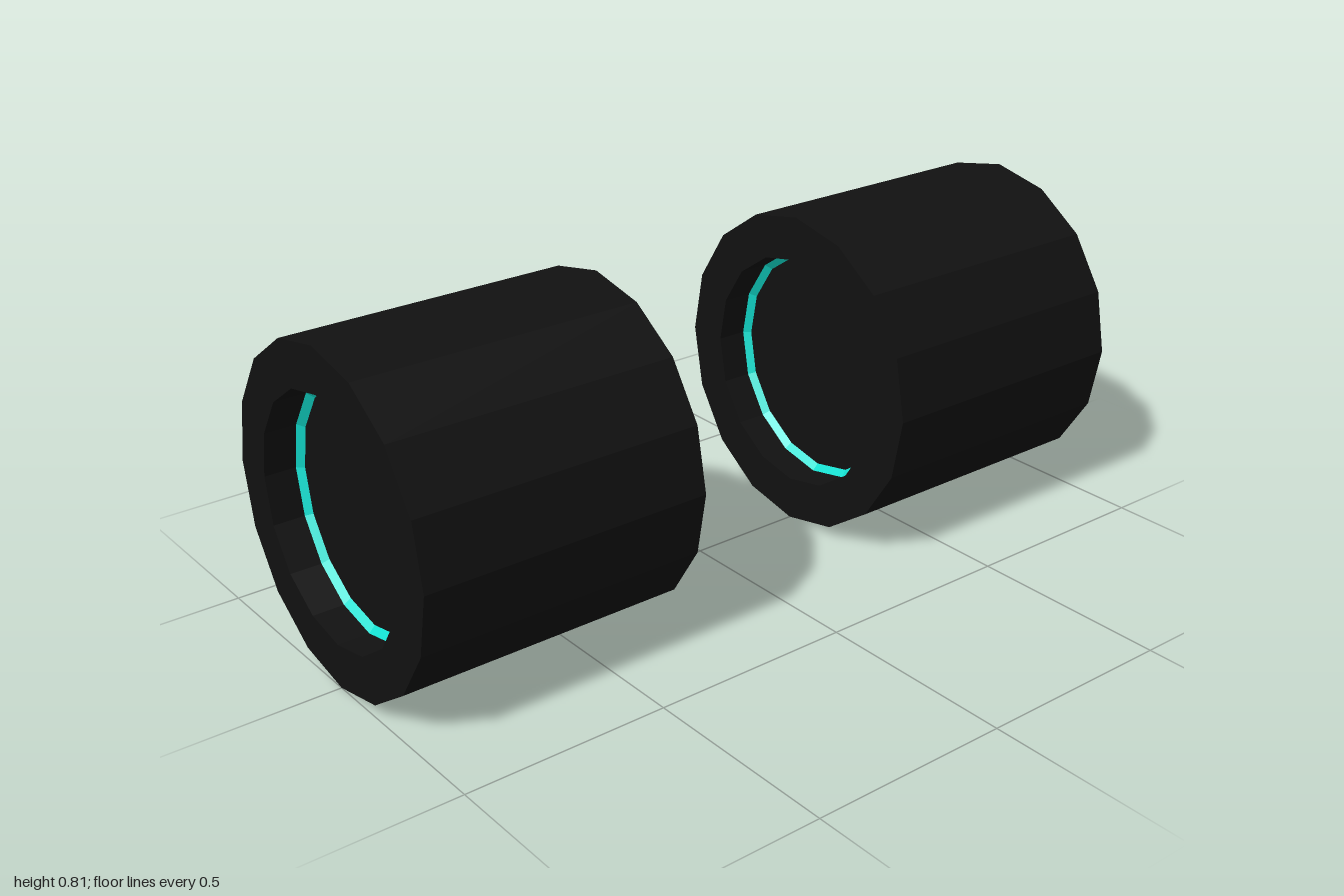
import * as THREE from 'three';

const SIDES = 16;
const RADIUS = 0.39;      // outer radius along z
const STRETCH = 1.033;    // slightly taller than deep
const HALF = 0.3525;      // half the wheel width
const WALL = 0.285;       // radius of the recess wall
const HUB = 0.27;         // radius of the sunken hub disc
const RING_DEPTH = 0.077; // where the glowing ring starts
const HUB_DEPTH = 0.092;  // where the hub disc sits

const black = new THREE.MeshStandardMaterial({ color: 0x111111, flatShading: true });
const teal = new THREE.MeshStandardMaterial({ color: 0x12e0d0, flatShading: true });

// Revolves [radius, offset] pairs around the x axis
function revolve(name, profile, material) {
  const points = profile.map(([r, t]) => new THREE.Vector2(r, t));
  const geometry = new THREE.LatheGeometry(points, SIDES);
  geometry.rotateZ(-Math.PI / 2);
  geometry.scale(1, STRETCH, 1);
  const mesh = new THREE.Mesh(geometry, material);
  mesh.name = name;
  return mesh;
}

function createWheel(name) {
  const wheel = new THREE.Group();
  wheel.name = name;

  // Tyre: tread, both side faces and both recess walls
  wheel.add(revolve('tyre', [
    [WALL, -HALF + RING_DEPTH], [WALL, -HALF], [RADIUS, -HALF],
    [RADIUS, HALF], [WALL, HALF], [WALL, HALF - RING_DEPTH],
  ], black));

  // Sunken hub disc and bevelled accent ring on each end
  for (const side of [-1, 1]) {
    const hub = [[0, side * (HALF - HUB_DEPTH)], [HUB, side * (HALF - HUB_DEPTH)]];
    const ring = [[HUB, side * (HALF - HUB_DEPTH)], [WALL, side * (HALF - RING_DEPTH)]];
    if (side > 0) { // keep the faces pointing outward
      hub.reverse();
      ring.reverse();
    }
    const label = side > 0 ? 'left' : 'right';
    wheel.add(revolve(label + 'Hub', hub, black));
    wheel.add(revolve(label + 'AccentRing', ring, teal));
  }
  return wheel;
}

export function createModel() {
  const model = new THREE.Group();
  model.name = 'wheelPair';
  for (const side of [-1, 1]) {
    const wheel = createWheel(side > 0 ? 'leftWheel' : 'rightWheel');
    wheel.position.set(side * (1 - HALF), RADIUS * STRETCH, 0);
    model.add(wheel);
  }
  return model;
}
